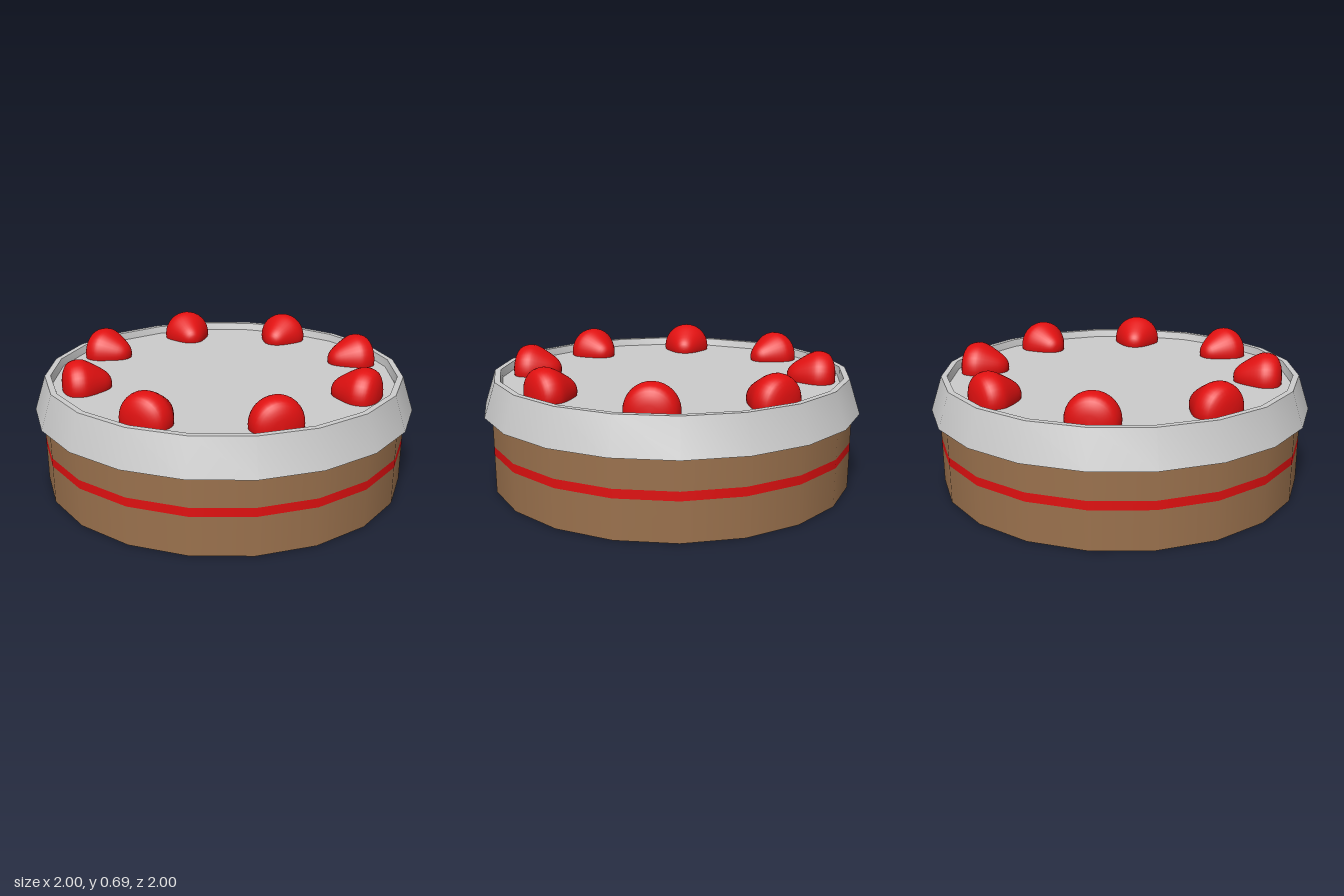
import * as THREE from 'three';
import { toCreasedNormals } from 'three/addons/utils/BufferGeometryUtils.js';

const SIDES = 20;
const points = (list) => list.map(([r, y]) => new THREE.Vector2(r, y));

export function createModel() {
  const cake = new THREE.Group();
  cake.name = 'cake';
  const sponge = new THREE.MeshStandardMaterial({ color: 0x9a714d });
  const red = new THREE.MeshStandardMaterial({ color: 0xe01010 });
  const cream = new THREE.MeshStandardMaterial({ color: 0xcccccc });

  const add = (name, geometry, material, parent = cake) => {
    const mesh = new THREE.Mesh(geometry, material);
    mesh.name = name;
    parent.add(mesh);
    return mesh;
  };

  // Stacked layers: sponge, jam stripe, sponge
  const layer = (name, y0, y1, material) => {
    const g = new THREE.CylinderGeometry(0.96, 0.96, y1 - y0, SIDES);
    add(name, g, material).position.y = (y0 + y1) / 2;
  };
  layer('lowerSponge', 0, 0.2, sponge);
  layer('jamLayer', 0.2, 0.245, red);
  layer('upperSponge', 0.245, 0.4, sponge);

  // Icing: sloped collar, narrow rim and slightly sunken top
  const icing = new THREE.LatheGeometry(points([
    [0.9, 0.4], [1, 0.4], [0.94, 0.58], [0.91, 0.58], [0.9, 0.54], [0, 0.54],
  ]), SIDES);
  add('icing', toCreasedNormals(icing, Math.PI / 6), cream);

  // Strawberries lie half sunk in the icing, tips pointing to the centre
  const profile = new THREE.SplineCurve(points([
    [0, -0.135], [0.03, -0.13], [0.062, -0.105], [0.1, -0.05], [0.125, -0.005],
    [0.132, 0.025], [0.127, 0.06], [0.108, 0.09], [0.06, 0.111], [0, 0.117],
  ])).getPoints(24);
  profile.forEach((p) => { p.x = Math.max(p.x, 0); });
  const berry = new THREE.LatheGeometry(profile, 32);
  berry.rotateX(Math.PI / 2); // blunt end towards +z

  const berries = new THREE.Group();
  berries.name = 'strawberries';
  berries.position.set(0, 0.56, -0.008);
  cake.add(berries);
  for (let i = 0; i < 8; i++) {
    const a = (i * Math.PI) / 4;
    const mesh = add('strawberry', berry, red, berries);
    mesh.position.set(Math.sin(a) * 0.745, 0, Math.cos(a) * 0.745);
    mesh.rotation.y = a;
  }
  return cake;
}
